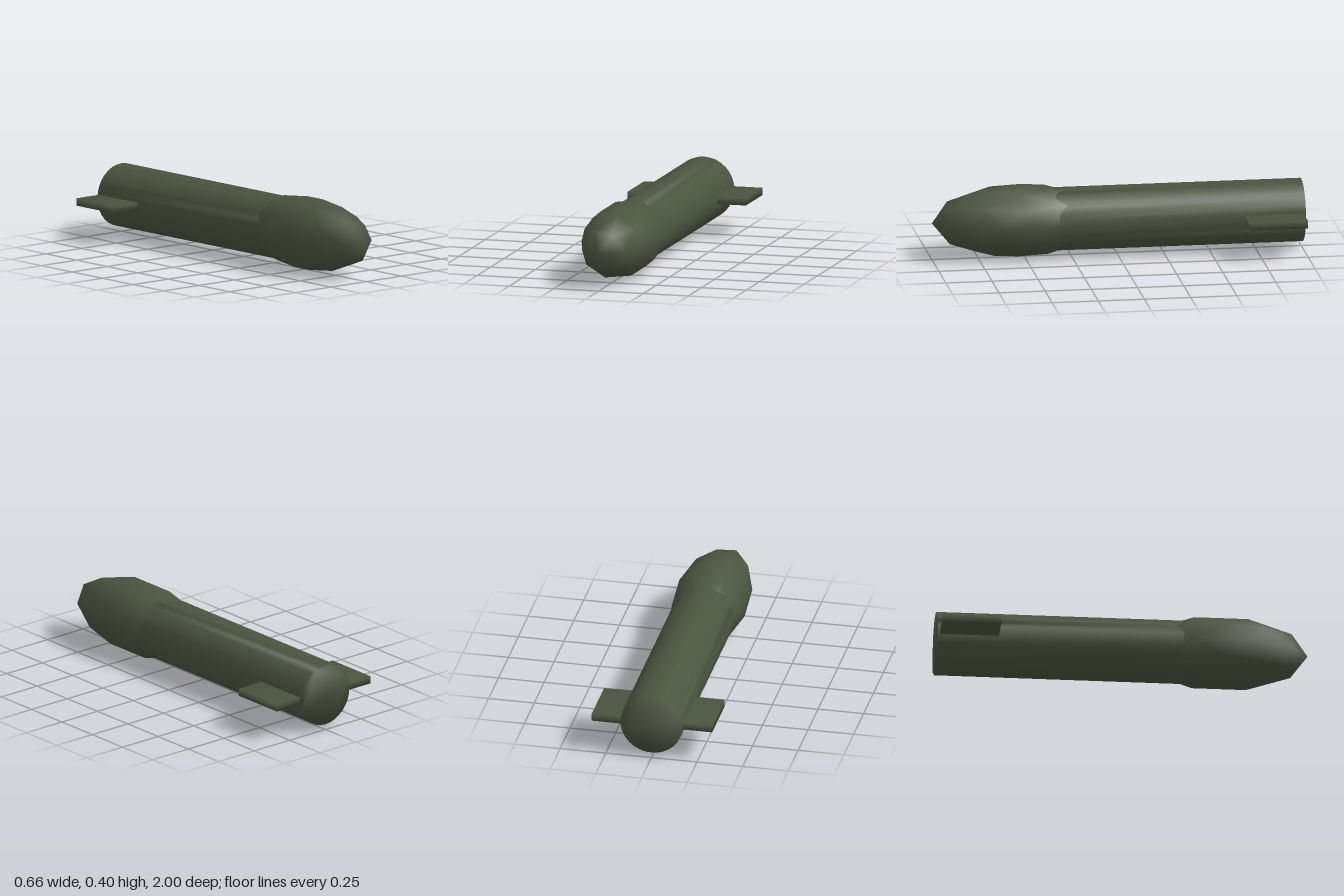
import * as THREE from 'three';
import { mergeVertices } from 'three/addons/utils/BufferGeometryUtils.js';

// Share corners so the shading runs smoothly over every edge
function smooth(geometry) {
  geometry.deleteAttribute('uv');
  geometry.deleteAttribute('normal');
  geometry.clearGroups();
  const merged = mergeVertices(geometry, 1e-4);
  merged.computeVertexNormals();
  return merged;
}

export function createModel() {
  const group = new THREE.Group();
  const olive = new THREE.MeshStandardMaterial({ color: 0x4b543f });
  olive.name = 'olive green';

  const add = (name, geometry, x, y, z) => {
    const mesh = new THREE.Mesh(smooth(geometry), olive);
    mesh.name = name;
    mesh.position.set(x, y, z);
    group.add(mesh);
  };

  // Long round body with flat ends, running along z
  const outline = new THREE.Shape();
  const sides = 32;
  for (let i = 0; i < sides; i++) {
    const a = (i / sides) * Math.PI * 2;
    const x = 0.17 * Math.cos(a), y = 0.17 * Math.sin(a);
    if (i === 0) outline.moveTo(x, y);
    else outline.lineTo(x, y);
  }
  outline.closePath();
  add('body', new THREE.ExtrudeGeometry(outline, { depth: 1.4, bevelEnabled: false }), 0, 0.2, -1);

  // Faceted nose: a coarse sphere with a corner at the top, stretched along z
  const nose = new THREE.IcosahedronGeometry(0.2, 1);
  nose.rotateZ(-Math.atan(2 / (1 + Math.sqrt(5))));
  nose.scale(1, 1, 0.47 / 0.2);
  add('nose', nose, 0, 0.2, 0.53);

  // Tail fins: one flat slab passing through the body
  add('tailFins', new THREE.BoxGeometry(0.66, 0.04, 0.315), 0, 0.2, -0.83);

  return group;
}
